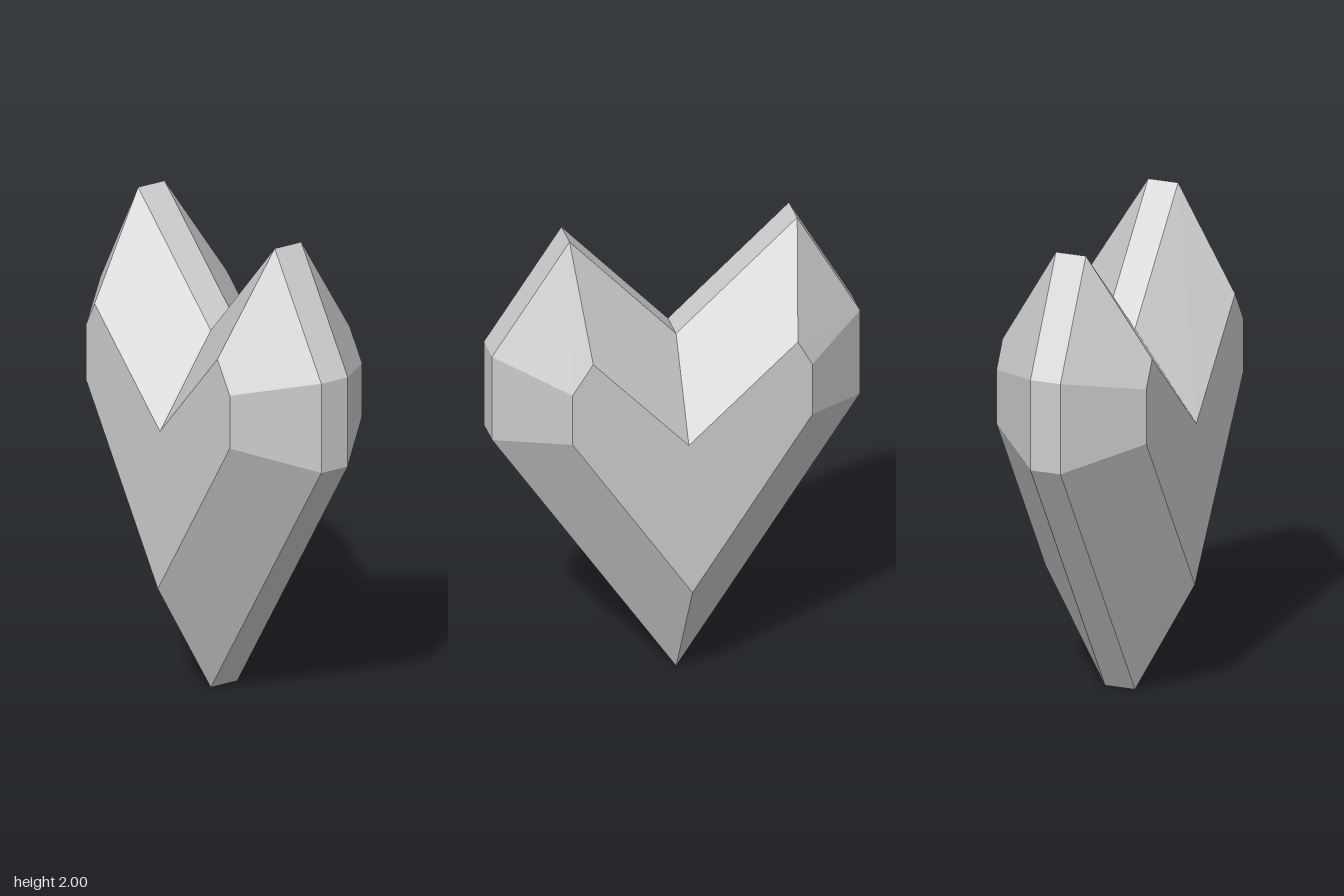
import * as THREE from 'three';

// Heart outlines, counter-clockwise from the bottom tip
const rim = [[0, 0], [0.76, 1.14], [0.76, 1.52], [0.44, 2], [0, 1.52], [-0.5, 1.98], [-0.76, 1.52], [-0.76, 1.14]];
const face = [[0, 0.475], [0.495, 1.22], [0.495, 1.445], [0.41, 1.575], [0.015, 1.15], [-0.435, 1.56], [-0.495, 1.45], [-0.495, 1.22]];

// Joins matching outlines from back to front and caps both ends
function loft(sections) {
  const n = sections[0].outline.length;
  const positions = sections.flatMap(({ outline, z }) => outline.flatMap(([x, y]) => [x, y, z]));
  const index = [];
  for (let k = 0; k < sections.length - 1; k++) {
    for (let i = 0; i < n; i++) {
      const a = k * n + i, b = k * n + (i + 1) % n;
      index.push(a, b, b + n, a, b + n, a + n);
    }
  }
  const last = (sections.length - 1) * n;
  const flat = sections[0].outline.map(([x, y]) => new THREE.Vector2(x, y));
  for (const [a, b, c] of THREE.ShapeUtils.triangulateShape(flat, [])) {
    index.push(a, c, b, last + a, last + b, last + c);
  }
  const indexed = new THREE.BufferGeometry();
  indexed.setAttribute('position', new THREE.Float32BufferAttribute(positions, 3));
  indexed.setIndex(index);
  const geometry = indexed.toNonIndexed();
  geometry.computeVertexNormals();
  return geometry;
}

export function createModel() {
  const group = new THREE.Group();
  group.name = 'heartGem';

  // Faceted heart: narrow rim band with wide bevels to the front and back faces
  const heart = new THREE.Mesh(
    loft([
      { outline: face, z: -0.325 },
      { outline: rim, z: -0.065 },
      { outline: rim, z: 0.065 },
      { outline: face, z: 0.325 },
    ]),
    new THREE.MeshStandardMaterial({ color: 0xcccccc, flatShading: true }),
  );
  heart.name = 'heart';
  group.add(heart);
  return group;
}
